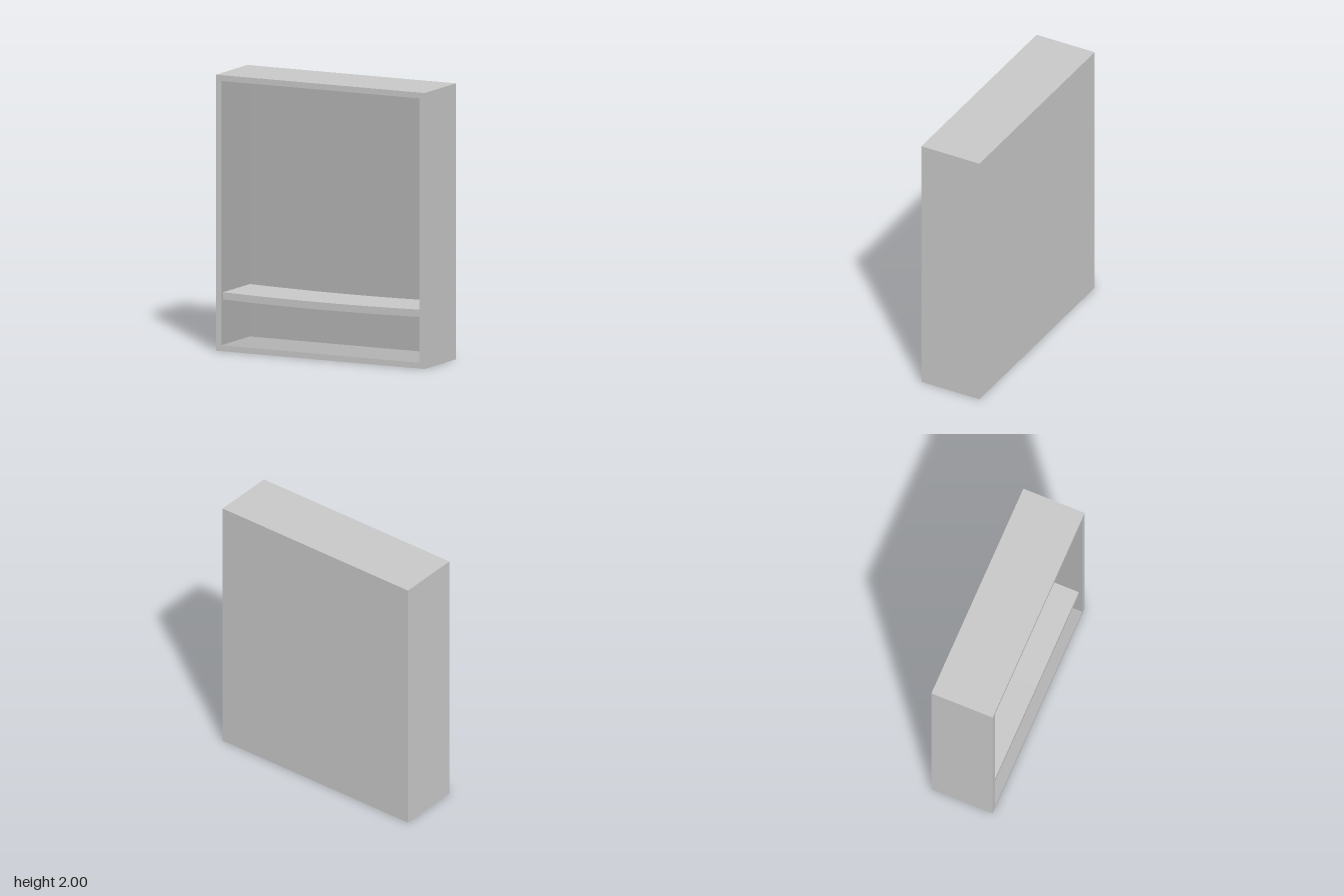
import * as THREE from 'three';

const W = 1.69, H = 2, D = 0.475;   // outer cabinet
const T = 0.0425;                   // board thickness
const iw = W - 2 * T, ih = H - 2 * T, id = D - T;

// Box without its front (+z) face; inward = true turns the faces to the inside
function openBox(w, h, d, inward) {
  const geo = new THREE.BoxGeometry(w, h, d);
  const index = Array.from(geo.index.array);
  index.splice(24, 6);
  if (inward) index.reverse();
  geo.clearGroups();
  geo.setIndex(index);
  geo.computeVertexNormals();
  return geo;
}

// Rectangle outline centred on the origin
function rectangle(PathType, w, h) {
  return new PathType([[-1, -1], [1, -1], [1, 1], [-1, 1]]
    .map(([x, y]) => new THREE.Vector2(x * w / 2, y * h / 2)));
}

export function createModel() {
  const model = new THREE.Group();
  model.name = 'shelfCabinet';

  const paint = new THREE.MeshStandardMaterial({ color: 0xc8c8c8 });
  paint.name = 'lightGrey';
  const lining = new THREE.MeshStandardMaterial({ color: 0xb2b2b2 });
  lining.name = 'midGrey';

  const add = (name, geo, mat, y, z) => {
    const mesh = new THREE.Mesh(geo, mat);
    mesh.name = name;
    mesh.position.set(0, y, z);
    model.add(mesh);
  };

  // Outer casing, open at the front
  add('casing', openBox(W, H, D, false), paint, H / 2, 0);

  // Front rim around the opening
  const rim = rectangle(THREE.Shape, W, H);
  rim.holes.push(rectangle(THREE.Path, iw, ih));
  add('frontRim', new THREE.ShapeGeometry(rim), paint, H / 2, D / 2);

  // Inner walls and back
  add('interior', openBox(iw, ih, id, true), lining, H / 2, T / 2);

  // Shelf sagging slightly in the middle, set back from the rim
  const depth = 0.405;
  const shelf = new THREE.BoxGeometry(iw, 0.053, depth, 12, 1, 1);
  const pos = shelf.attributes.position;
  for (let i = 0; i < pos.count; i++) {
    const u = pos.getX(i) / (iw / 2);
    pos.setY(i, pos.getY(i) - 0.011 * (1 - u * u));
  }
  shelf.computeVertexNormals();
  add('shelf', shelf, paint, 0.396, -D / 2 + T + depth / 2);

  return model;
}
